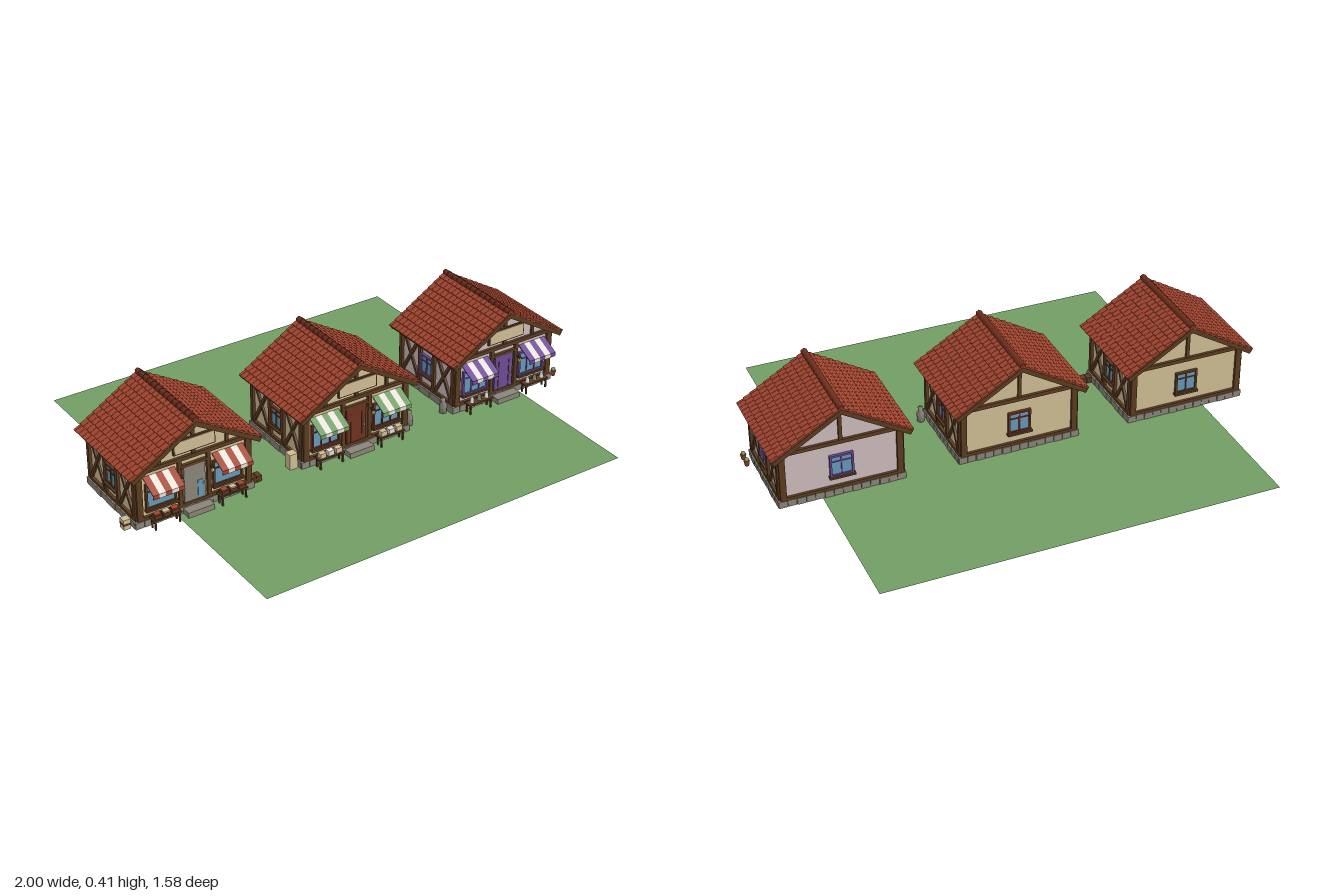
import * as THREE from 'three';
import { mergeGeometries } from 'three/addons/utils/BufferGeometryUtils.js';

const mat = (name, color) => {
  const m = new THREE.MeshStandardMaterial({ color });
  m.name = name;
  return m;
};
const M = {
  wood: mat('timber brown', 0x5b3b20),
  cream: mat('cream plaster', 0xd0bd94),
  lilac: mat('lilac plaster', 0xcdbcbc),
  red: mat('roof red', 0xa2452f),
  dark: mat('dark maroon', 0x70301f),
  green: mat('grass green', 0x729d64),
  stone: mat('stone grey', 0x8a8579),
  glass: mat('window blue', 0x6699b8),
  white: mat('off white', 0xe6e0d8),
  purple: mat('purple', 0x6c4b96),
};
M.green.side = THREE.DoubleSide;

const add = (parent, name, geo, m, x = 0, y = 0, z = 0) => {
  const mesh = new THREE.Mesh(geo, m);
  mesh.name = name;
  mesh.position.set(x, y, z);
  parent.add(mesh);
  return mesh;
};
const box = (parent, name, m, w, h, d, x, y, z) =>
  add(parent, name, new THREE.BoxGeometry(w, h, d), m, x, y, z);
const group = (parent, name) => {
  const g = new THREE.Group();
  g.name = name;
  parent.add(g);
  return g;
};

// timber between two points of a wall face
function beam(face, x1, y1, x2, y2, w = 0.018, d = 0.014) {
  const len = Math.hypot(x2 - x1, y2 - y1);
  const b = box(face, 'timber', M.wood, len, w, d, (x1 + x2) / 2, (y1 + y2) / 2, d / 2 - 0.003);
  b.rotation.z = Math.atan2(y2 - y1, x2 - x1);
}

// wall face: local x along the wall, z outwards
function wallFace(parent, name, angle, dist) {
  const f = group(parent, name);
  f.rotation.y = angle;
  f.position.set(Math.sin(angle) * dist, 0, Math.cos(angle) * dist);
  return f;
}

function windowUnit(face, x, y, w, h, trim, panes) {
  const g = group(face, 'window');
  g.position.set(x, y, 0);
  box(g, 'glass', M.glass, w, h, 0.006, 0, 0, 0.002);
  for (const s of [-1, 1]) {
    box(g, 'frameSide', trim, 0.008, h + 0.008, 0.012, s * w / 2, 0, 0.005);
    box(g, 'frameRail', trim, w + 0.008, 0.008, 0.012, 0, s * h / 2, 0.005);
  }
  for (let i = 1; i < panes; i++)
    box(g, 'mullion', trim, 0.005, h, 0.008, (i / panes - 0.5) * w, 0, 0.005);
  box(g, 'glazingBar', trim, w, 0.004, 0.008, 0, h * 0.2, 0.005);
  box(g, 'sill', M.wood, w + 0.016, 0.008, 0.022, 0, -h / 2 - 0.006, 0.008);
}

// striped sloping canopy with a short valance
function awning(face, x, m) {
  const g = group(face, 'awning');
  g.position.x = x;
  for (let i = 0; i < 5; i++) {
    const c = i % 2 ? M.white : m, sx = (i - 2) * 0.026;
    const top = box(g, 'awningStripe', c, 0.026, 0.004, 0.084, sx, 0.186, 0.038);
    top.rotation.x = 0.49;
    box(g, 'valance', c, 0.026, 0.017, 0.003, sx, 0.159, 0.074);
  }
}

// trestle with goods under each window
function stall(face, x, kind) {
  const g = group(face, 'stall');
  g.position.set(x, 0, 0.036);
  box(g, 'tabletop', M.wood, 0.116, 0.006, 0.034, 0, 0.042, 0);
  for (const sx of [-1, 1]) for (const sz of [-1, 1])
    box(g, 'tableLeg', M.wood, 0.006, 0.04, 0.006, sx * 0.05, 0.02, sz * 0.012);
  for (let i = -1; i <= 1; i++) {
    if (kind === 0) {
      box(g, 'tray', M.wood, 0.03, 0.014, 0.026, i * 0.036, 0.052, 0);
      box(g, 'produce', i ? M.red : M.cream, 0.025, 0.008, 0.022, i * 0.036, 0.06, 0);
    } else if (kind === 1) {
      box(g, 'loaf', i ? M.cream : M.white, 0.026, 0.02, 0.022, i * 0.036, 0.055, 0);
    } else {
      add(g, 'jar', new THREE.CylinderGeometry(0.006, 0.009, 0.026, 8), i ? M.white : M.stone, i * 0.036, 0.058, 0);
    }
  }
}

// stepped tiles on a timber deck, both slopes
function roof(parent) {
  const g = group(parent, 'roof');
  const run = 0.272, rise = 0.163, L = Math.hypot(run, rise), a = Math.atan2(rise, run);
  const rows = 10, cols = 16, D = 0.425, tw = D / cols;
  for (const s of [-1, 1]) {
    const slope = group(g, 'roofSlope');
    slope.position.y = 0.39;
    slope.rotation.z = -s * a;
    box(slope, 'roofDeck', M.wood, L, 0.012, D - 0.004, s * L / 2, -0.009, 0);
    const tiles = [];
    for (let r = 0; r < rows; r++) {
      const odd = r % 2;
      for (let c = 0; c < cols + odd; c++) {
        const z0 = Math.max(0, (c - odd / 2) * tw), z1 = Math.min(D, (c + 1 - odd / 2) * tw);
        const t = new THREE.BoxGeometry(L / rows + 0.003, 0.006, z1 - z0 - 0.0015);
        t.rotateZ(s * 0.12);
        t.translate(s * (r + 0.5) * L / rows, 0, (z0 + z1) / 2 - D / 2);
        tiles.push(t);
      }
    }
    add(slope, 'roofTiles', mergeGeometries(tiles), M.red);
    // barge boards along the gables
    for (const e of [-1, 1])
      box(slope, 'bargeBoard', M.wood, L, 0.018, 0.008, s * L / 2, -0.012, e * (D / 2 - 0.003));
  }
  for (let i = 0; i < 14; i++) {
    const cap = add(g, 'ridgeTile', new THREE.CylinderGeometry(0.014, 0.012, 0.0295, 6), M.dark, 0, 0.391, (i - 6.5) * 0.0303);
    cap.rotation.x = Math.PI / 2;
  }
}

// stone blocks around a solid core
function foundation(parent) {
  box(parent, 'foundationCore', M.stone, 0.49, 0.025, 0.365, 0, 0.0135, 0);
  const blocks = [];
  const row = (n, len, along, off) => {
    for (let i = 0; i < n; i++) for (const s of [-1, 1]) {
      const w = len / n - 0.002, d = 0.012 + (i * 7 % 3) * 0.002, p = (i + 0.5 - n / 2) * len / n;
      const b = along ? new THREE.BoxGeometry(w, 0.027, d) : new THREE.BoxGeometry(d, 0.027, w);
      b.translate(along ? p : s * off, 0.0145, along ? s * off : p);
      blocks.push(b);
    }
  };
  row(14, 0.5, true, 0.181);
  row(10, 0.36, false, 0.244);
  add(parent, 'foundationBlocks', mergeGeometries(blocks), M.stone);
}

const lathe = pts => new THREE.LatheGeometry(pts.map(p => new THREE.Vector2(...p)), 12);
const can = () => lathe([[0, 0], [0.015, 0], [0.016, 0.035], [0.008, 0.048], [0.011, 0.062], [0, 0.064]]);
const pot = () => lathe([[0, 0], [0.008, 0], [0.012, 0.022], [0.009, 0.022], [0, 0.019]]);

function house(parent, x, o) {
  const h = group(parent, o.name);
  h.position.x = x;
  foundation(h);
  // walls with gables
  const s = new THREE.Shape([[-0.235, 0.025], [0.235, 0.025], [0.235, 0.235], [0, 0.374], [-0.235, 0.235]]
    .map(p => new THREE.Vector2(...p)));
  add(h, 'walls', new THREE.ExtrudeGeometry(s, { depth: 0.354, bevelEnabled: false }), o.wall, 0, 0, -0.177);
  roof(h);

  const front = wallFace(h, 'frontFace', 0, 0.177), back = wallFace(h, 'backFace', Math.PI, 0.177);
  for (const f of [front, back]) {
    for (const e of [-1, 1]) beam(f, e * 0.228, 0.03, e * 0.228, 0.235, 0.024);
    beam(f, -0.24, 0.232, 0.24, 0.232, 0.016);
    beam(f, -0.235, 0.036, 0.235, 0.036, 0.012);
    beam(f, 0, 0.235, 0, 0.37, 0.014, 0.012);
  }
  windowUnit(back, 0, 0.13, 0.085, 0.085, o.trim, 2);
  for (const e of [-1, 1]) {
    beam(front, e * 0.06, 0.03, e * 0.06, 0.232, 0.016);
    beam(front, e * 0.14, 0.235, e * 0.14, 0.287, 0.012, 0.012);
    windowUnit(front, e * 0.14, 0.122, 0.118, 0.1, o.trim, o.panes);
    awning(front, e * 0.143, o.awning);
    stall(front, e * 0.14, o.kind);
    // lantern beside the door
    box(front, 'lanternArm', M.wood, 0.005, 0.005, 0.024, e * 0.064, 0.168, 0.018);
    box(front, 'lantern', M.cream, 0.01, 0.015, 0.01, e * 0.064, 0.157, 0.027);
    box(front, 'lanternCap', M.wood, 0.013, 0.004, 0.013, e * 0.064, 0.166, 0.027);
    // side wall with crossed braces
    const side = wallFace(h, e > 0 ? 'leftFace' : 'rightFace', e * Math.PI / 2, 0.235);
    for (const q of [-1, 1]) {
      beam(side, q * 0.17, 0.03, q * 0.17, 0.235, 0.018);
      beam(side, q * 0.045, 0.03, q * 0.045, 0.235, 0.016);
      beam(side, q * 0.055, 0.04, q * 0.162, 0.225, 0.013, 0.01);
      beam(side, q * 0.055, 0.225, q * 0.162, 0.04, 0.013, 0.012);
    }
    beam(side, -0.175, 0.225, 0.175, 0.225, 0.014);
    beam(side, -0.175, 0.036, 0.175, 0.036, 0.012);
    windowUnit(side, 0, 0.13, 0.072, 0.078, o.trim, 2);
  }

  // door, step and sign board
  box(front, 'door', o.door, 0.088, 0.165, 0.01, 0, 0.11, 0.004);
  box(front, 'doorLintel', M.wood, 0.115, 0.012, 0.014, 0, 0.198, 0.005);
  if (o.kind === 0) box(front, 'doorPane', M.glass, 0.022, 0.07, 0.003, 0.022, 0.085, 0.01);
  else for (const e of [-1, 1]) box(front, 'doorGroove', M.wood, 0.004, 0.12, 0.003, e * 0.025, 0.105, 0.0095);
  box(front, 'doorKnob', M.cream, 0.006, 0.008, 0.006, 0.034, 0.105, 0.012);
  box(front, 'doorStep', M.stone, 0.11, 0.022, 0.045, 0, 0.012, 0.028);
  box(front, 'signFrame', M.wood, 0.174, 0.058, 0.008, 0, 0.288, 0.012);
  box(front, 'signBoard', M.cream, 0.164, 0.048, 0.008, 0, 0.288, 0.014);
  return h;
}

export function createModel() {
  const root = new THREE.Group();
  root.name = 'marketRow';
  const lawn = add(root, 'lawn', new THREE.PlaneGeometry(1.58, 1.58), M.green);
  lawn.rotation.x = -Math.PI / 2;

  const a = house(root, -0.71, { name: 'grocerHouse', wall: M.cream, trim: M.wood, awning: M.red, door: M.stone, panes: 1, kind: 0 });
  const b = house(root, 0, { name: 'bakerHouse', wall: M.cream, trim: M.dark, awning: M.green, door: M.dark, panes: 3, kind: 1 });
  const c = house(root, 0.71, { name: 'potterHouse', wall: M.lilac, trim: M.purple, awning: M.purple, door: M.purple, panes: 3, kind: 2 });

  // goods standing beside the houses
  box(a, 'crate', M.cream, 0.028, 0.042, 0.03, -0.272, 0.022, 0.15);
  box(a, 'crateBand', M.wood, 0.03, 0.008, 0.032, -0.272, 0.022, 0.15);
  for (const x of [0.263, 0.286]) box(a, 'lowCrate', M.wood, 0.021, 0.025, 0.032, x, 0.0135, 0.15);
  box(b, 'sack', M.cream, 0.034, 0.065, 0.034, -0.272, 0.0335, 0.15);
  add(b, 'milkCan', can(), M.stone, 0.274, 0.001, 0.15);
  add(c, 'milkCan', can(), M.stone, -0.27, 0.001, 0.15);
  for (const z of [0.17, 0.125]) {
    add(c, 'pot', pot(), M.red, 0.276, 0.001, z);
    add(c, 'plant', new THREE.IcosahedronGeometry(0.009, 1), M.green, 0.276, 0.028, z);
  }
  return root;
}
